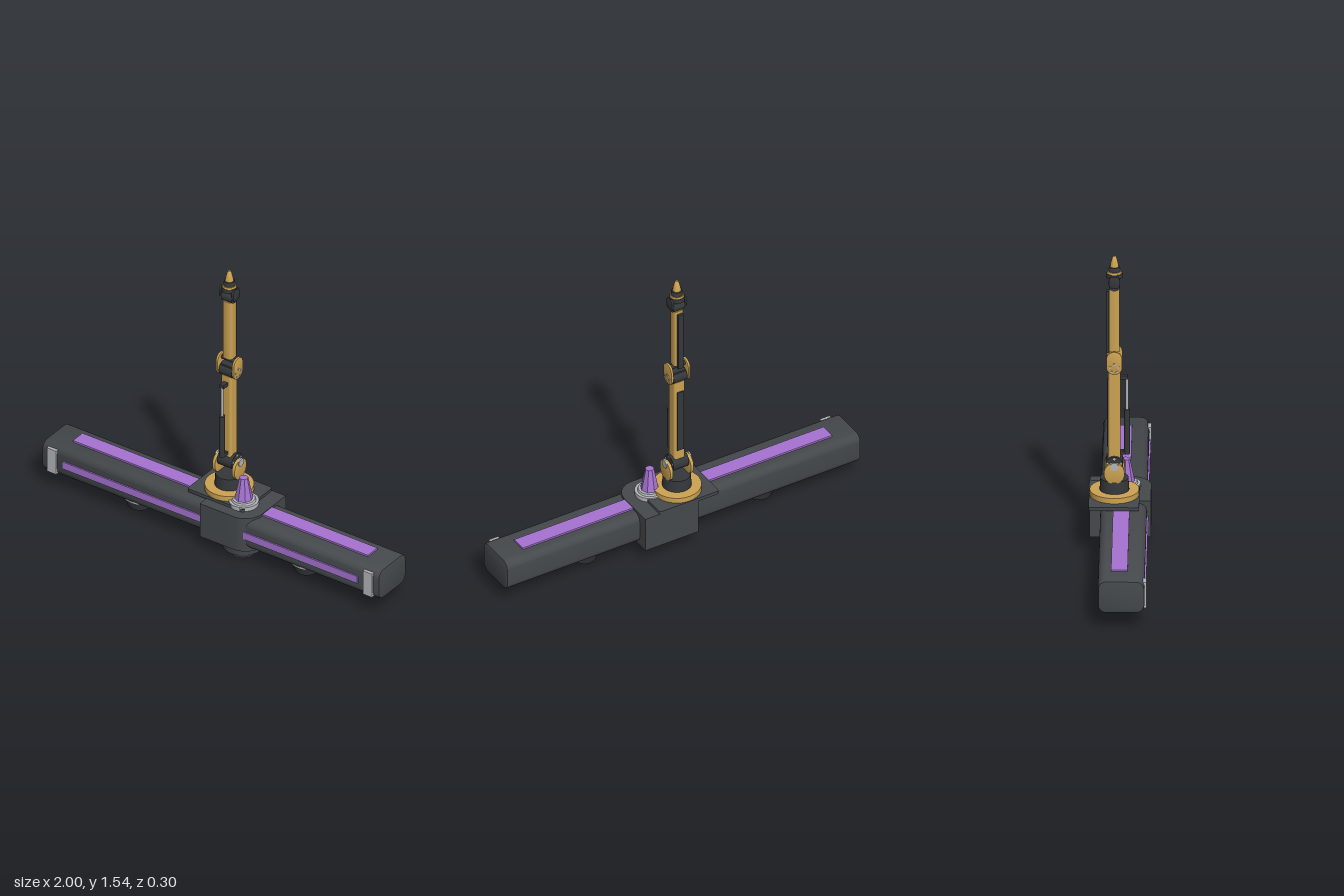
import * as THREE from 'three';
import { toCreasedNormals } from 'three/addons/utils/BufferGeometryUtils.js';

const material = (name, color, flatShading = false) => {
  const m = new THREE.MeshStandardMaterial({ color });
  m.name = name;
  m.flatShading = flatShading;
  return m;
};

// Rounded rectangle outline centred on the origin
function roundedRect(w, h, r) {
  const s = new THREE.Shape(), x = w / 2, y = h / 2;
  s.absarc(x - r, y - r, r, 0, Math.PI / 2);
  s.absarc(-x + r, y - r, r, Math.PI / 2, Math.PI);
  s.absarc(-x + r, -y + r, r, Math.PI, Math.PI * 1.5);
  s.absarc(x - r, -y + r, r, Math.PI * 1.5, Math.PI * 2);
  return s;
}

// Centred extrusion of a shape with a small bevel kept inside the depth
function extrude(shape, depth, bevel = 0) {
  const g = new THREE.ExtrudeGeometry(shape, {
    depth: depth - bevel * 2, curveSegments: 8, bevelEnabled: bevel > 0,
    bevelSize: bevel, bevelThickness: bevel, bevelOffset: -bevel, bevelSegments: 2,
  });
  g.translate(0, 0, -depth / 2 + bevel);
  return toCreasedNormals(g, 0.6);
}

export function createModel() {
  const dark = material('charcoal', 0x45494c);
  const black = material('jointBlack', 0x35383b);
  const gold = material('gold', 0xcda352);
  const purple = material('purple', 0xa673d2);
  const grey = material('lightGrey', 0xb4b6ba);

  const model = new THREE.Group();
  model.name = 'beamWithArm';
  const add = (parent, name, geometry, mat, x, y, z) => {
    const mesh = new THREE.Mesh(geometry, mat);
    mesh.name = name;
    mesh.position.set(x, y, z);
    parent.add(mesh);
    return mesh;
  };
  const box = (p, n, m, w, h, d, x, y, z) => add(p, n, new THREE.BoxGeometry(w, h, d), m, x, y, z);
  const cyl = (p, n, m, rTop, rBottom, y0, y1, x, z, sides = 32) =>
    add(p, n, new THREE.CylinderGeometry(rTop, rBottom, y1 - y0, sides), m, x, (y0 + y1) / 2, z);
  // Cylinder lying along x
  const pin = (p, n, m, r, length, x, y, z, sides = 24) =>
    add(p, n, new THREE.CylinderGeometry(r, r, length, sides).rotateZ(Math.PI / 2), m, x, y, z);
  // Rounded section (depth d, height h) running along x
  const xPlate = (p, n, m, length, d, h, r, x, y, z, bevel = 0) =>
    add(p, n, extrude(roundedRect(d, h, r), length, bevel).rotateY(Math.PI / 2), m, x, y, z);
  // Rounded section (width w, depth d) standing along y
  const column = (p, n, m, w, d, r, y0, y1, x, z) =>
    add(p, n, extrude(roundedRect(w, d, r), y1 - y0).rotateX(-Math.PI / 2), m, x, (y0 + y1) / 2, z);

  // Long beam with light strips and end clips
  const beam = new THREE.Group();
  beam.name = 'beam';
  model.add(beam);
  xPlate(beam, 'beamBody', dark, 2, 0.225, 0.165, 0.04, 0, 0.17, 0.015, 0.008);
  box(beam, 'topStrip', purple, 1.75, 0.01, 0.08, 0, 0.257, 0.005);
  box(beam, 'frontStrip', purple, 1.75, 0.04, 0.01, 0, 0.167, 0.13);
  for (const s of [-1, 1]) {
    box(beam, 'endClip', grey, 0.055, 0.135, 0.03, s * 0.937, 0.168, 0.122);
    // Small emitter hanging under the beam
    const x = s * 0.495, z = 0.02;
    cyl(beam, 'emitterNeck', dark, 0.07, 0.07, 0.08, 0.1, x, z);
    cyl(beam, 'emitterRim', grey, 0.08, 0.078, 0.072, 0.084, x, z);
    cyl(beam, 'emitterBody', black, 0.074, 0.06, 0.027, 0.073, x, z);
    cyl(beam, 'emitterLens', purple, 0.05, 0.05, 0.019, 0.028, x, z);
  }

  // Central housing with one rounded front corner
  const housing = new THREE.Group();
  housing.name = 'housing';
  model.add(housing);
  const outline = new THREE.Shape();
  outline.moveTo(-0.05, -0.147);
  outline.lineTo(0.15, -0.147);
  outline.absarc(0.15, -0.047, 0.1, -Math.PI / 2, 0);
  outline.lineTo(0.25, 0.15);
  outline.lineTo(-0.05, 0.15);
  add(housing, 'housingBlock', extrude(outline, 0.19).rotateX(-Math.PI / 2), dark, 0, 0.17, 0);
  column(housing, 'mountPlate', dark, 0.335, 0.245, 0.012, 0.262, 0.28, 0.002, -0.031);

  // Large emitter underneath
  cyl(housing, 'lowerCollar', dark, 0.104, 0.1, 0.03, 0.08, 0.122, 0.028);
  cyl(housing, 'lowerRim', grey, 0.095, 0.08, 0.011, 0.03, 0.122, 0.028);
  cyl(housing, 'lowerLens', purple, 0.07, 0.07, 0, 0.012, 0.122, 0.028);

  // Faceted beacon on a grey ring
  cyl(housing, 'beaconRing', grey, 0.074, 0.074, 0.262, 0.287, 0.122, 0.022);
  cyl(housing, 'beaconSeat', grey, 0.056, 0.06, 0.287, 0.298, 0.122, 0.022);
  const facets = toCreasedNormals(new THREE.CylinderGeometry(0.022, 0.046, 0.12, 8), 0.1);
  add(housing, 'beacon', facets, purple, 0.122, 0.355, 0.022);

  // Turntable
  const arm = new THREE.Group();
  arm.name = 'arm';
  arm.position.z = -0.03;
  model.add(arm);
  cyl(arm, 'turntable', gold, 0.12, 0.12, 0.28, 0.308, 0, 0, 48);
  cyl(arm, 'turntableHub', black, 0.068, 0.072, 0.308, 0.37, 0, 0);

  // Shoulder and elbow joints
  pin(arm, 'shoulderJoint', black, 0.043, 0.088, 0, 0.45, 0);
  pin(arm, 'elbowJoint', black, 0.036, 0.076, 0, 0.968, 0);
  box(arm, 'elbowBlock', black, 0.07, 0.035, 0.05, 0, 0.985, 0);
  pin(arm, 'elbowPin', black, 0.012, 0.1, 0, 1.028, 0);
  for (const s of [-1, 1]) {
    xPlate(arm, 'shoulderCheek', gold, 0.018, 0.1, 0.108, 0.048, s * 0.058, 0.415, 0, 0.003);
    pin(arm, 'shoulderBolt', grey, 0.021, 0.008, s * 0.068, 0.453, 0);
    xPlate(arm, 'elbowCheek', gold, 0.012, 0.076, 0.118, 0.036, s * 0.048, 0.992, 0, 0.002);
    for (let i = 0; i < 5; i++) {
      const a = i * Math.PI * 0.4 + Math.PI / 2;
      pin(arm, 'elbowBolt', grey, 0.006, 0.006, s * 0.054, 0.965 + Math.sin(a) * 0.022, Math.cos(a) * 0.022, 10);
      pin(arm, 'shoulderStud', grey, 0.006, 0.006, s * 0.044, 0.45 + Math.sin(a) * 0.034, Math.cos(a) * 0.034, 10);
    }
    // Wrist fork
    xPlate(arm, 'wristCheek', black, 0.013, 0.054, 0.062, 0.02, s * 0.037, 1.413, 0, 0.002);
  }

  // Upper arm with back panel and front piston
  column(arm, 'upperArm', gold, 0.06, 0.06, 0.01, 0.48, 0.945, 0, 0);
  box(arm, 'upperArmPanel', black, 0.036, 0.35, 0.009, 0, 0.71, -0.031);
  cyl(arm, 'pistonBarrel', black, 0.015, 0.015, 0.495, 0.73, 0, 0.061, 16);
  cyl(arm, 'pistonRod', grey, 0.007, 0.007, 0.73, 0.895, 0, 0.061, 12);
  box(arm, 'pistonLowerLug', black, 0.024, 0.018, 0.04, 0, 0.503, 0.045);
  box(arm, 'pistonUpperLug', black, 0.024, 0.02, 0.04, 0, 0.9, 0.045);

  // Forearm with back rod
  column(arm, 'forearm', gold, 0.05, 0.05, 0.01, 1.04, 1.37, 0, 0);
  box(arm, 'forearmPanel', black, 0.028, 0.325, 0.014, 0, 1.192, -0.031);

  // Wrist and pointed tool
  pin(arm, 'wristJoint', black, 0.027, 0.062, 0, 1.39, 0);
  cyl(arm, 'wristCollar', black, 0.038, 0.04, 1.428, 1.45, 0, 0, 24);
  cyl(arm, 'toolRing', gold, 0.034, 0.036, 1.45, 1.46, 0, 0, 24);
  cyl(arm, 'toolBase', black, 0.026, 0.03, 1.46, 1.483, 0, 0, 24);
  const tip = [[0, 0], [0.021, 0], [0.018, 0.02], [0.01, 0.05], [0.006, 0.056], [0, 0.058]];
  add(arm, 'toolTip', toCreasedNormals(new THREE.LatheGeometry(
    tip.map(([r, y]) => new THREE.Vector2(r, y)), 20), 0.5), gold, 0, 1.482, 0);

  return model;
}
